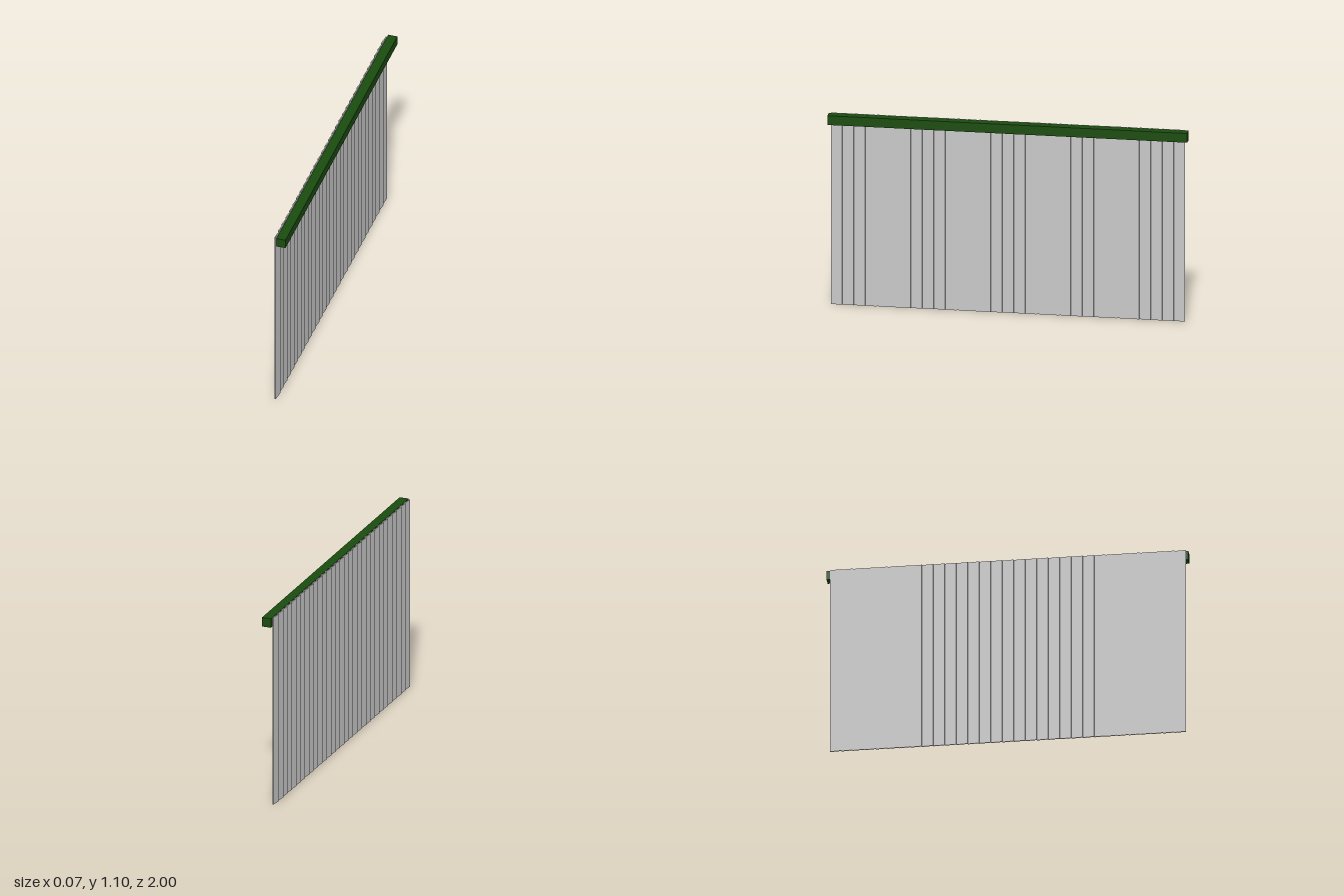
import * as THREE from 'three';

export function createModel() {
  const model = new THREE.Group();
  model.name = 'slattedFencePanel';

  const grey = new THREE.MeshStandardMaterial({ color: 0xcccccc });
  const green = new THREE.MeshStandardMaterial({ color: 0x1b4d10 });

  // Square top rail
  const height = 1.097, railSize = 0.053;
  const rail = new THREE.Mesh(new THREE.BoxGeometry(railSize, railSize, 2), green);
  rail.name = 'topRail';
  rail.position.set(0.0065, height - railSize / 2, 0);
  model.add(rail);

  // Vertical boards, each turned slightly so the row makes a sawtooth
  const count = 31, pitch = 0.0635, thickness = 0.006, tilt = 0.1;
  const boards = new THREE.Group();
  boards.name = 'boards';
  const boardGeometry = new THREE.BoxGeometry(thickness, height, pitch);
  for (let i = 0; i < count; i++) {
    const board = new THREE.Mesh(boardGeometry, grey);
    board.name = `board${i + 1}`;
    board.position.set(-0.027, height / 2, 0.005 + (i - (count - 1) / 2) * pitch);
    board.rotation.y = -tilt;
    boards.add(board);
  }
  model.add(boards);

  return model;
}
